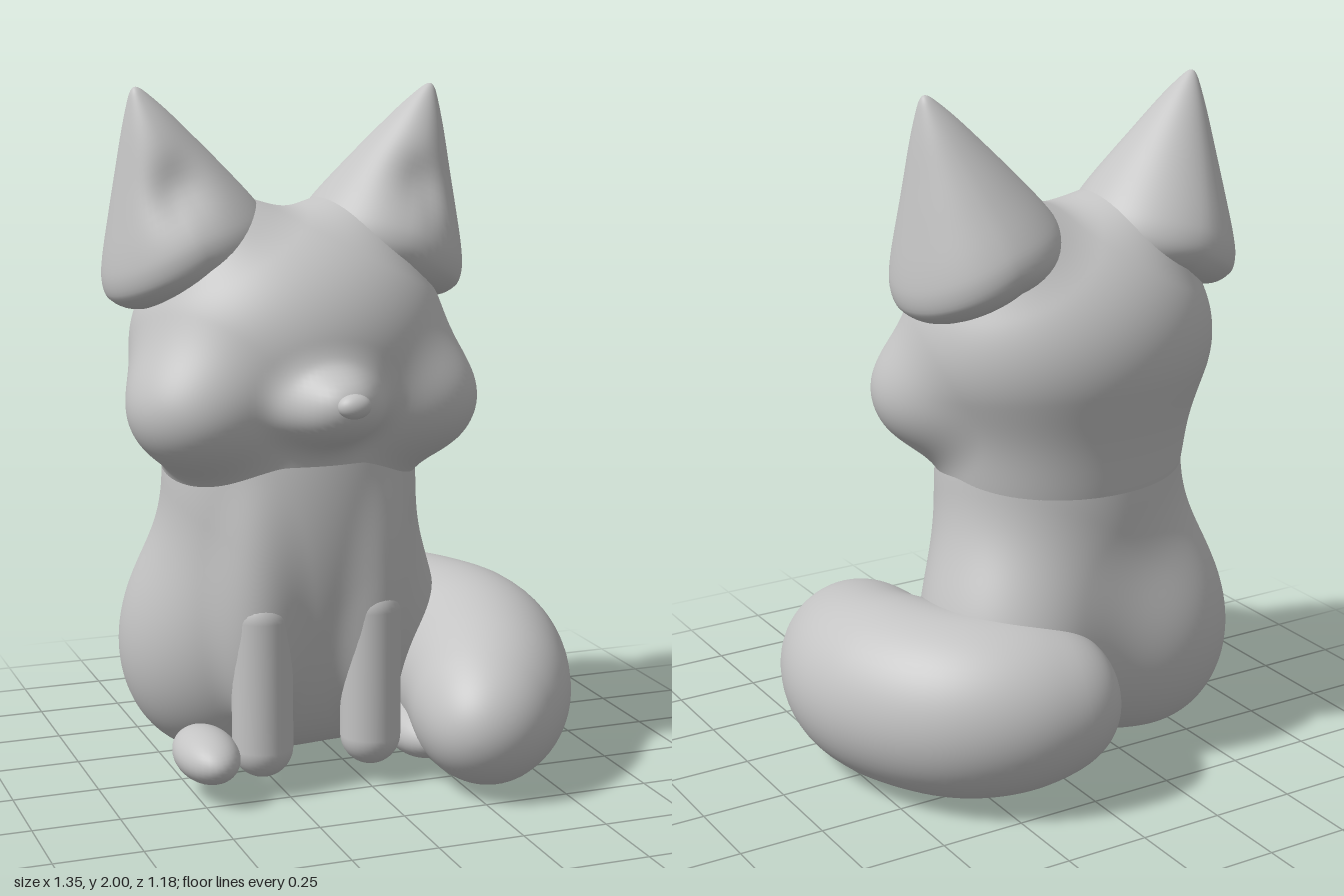
import * as THREE from 'three';
import { mergeVertices } from 'three/addons/utils/BufferGeometryUtils.js';

const clay = new THREE.MeshStandardMaterial({ color: 0xc4c4c4 });
clay.name = 'plainClay';

// Welds the seam and gives smooth normals.
function smooth(geometry) {
  geometry.deleteAttribute('uv');
  geometry.deleteAttribute('normal');
  const welded = mergeVertices(geometry, 1e-5);
  welded.computeVertexNormals();
  return welded;
}

function addPart(parent, name, geometry) {
  const mesh = new THREE.Mesh(geometry, clay);
  mesh.name = name;
  parent.add(mesh);
  return mesh;
}

// Ellipsoid volume; k is the softness of its blend with the ones before it.
const blob = (c, r, k) => ({ c, r, k });
const pair = (c, r, k) => [blob(c, r, k), blob([-c[0], c[1], c[2]], r, k)];

function ellipsoidDistance(p, { c, r }) {
  const x = (p.x - c[0]) / r[0], y = (p.y - c[1]) / r[1], z = (p.z - c[2]) / r[2];
  const k0 = Math.hypot(x, y, z);
  const k1 = Math.hypot(x / r[0], y / r[1], z / r[2]);
  return k1 < 1e-6 ? -Math.min(...r) : k0 * (k0 - 1) / k1;
}

function blendedDistance(p, blobs) {
  let d = 10;
  for (const b of blobs) {
    const e = ellipsoidDistance(p, b);
    const h = Math.max(b.k - Math.abs(d - e), 0) / b.k;
    d = Math.min(d, e) - h * h * b.k / 4;
  }
  return d;
}

// Shrinks a sphere on to the blended volumes along rays from its centre.
function skin(center, blobs, columns, rows) {
  const geometry = new THREE.SphereGeometry(1, columns, rows);
  const pos = geometry.attributes.position;
  const dir = new THREE.Vector3(), p = new THREE.Vector3();
  const at = (t) => p.copy(dir).multiplyScalar(t).add(center);
  for (let i = 0; i < pos.count; i++) {
    dir.fromBufferAttribute(pos, i).normalize();
    let t = 1.1;
    while (t > 0.02 && blendedDistance(at(t), blobs) > 0) t -= 0.015;
    let lo = t, hi = t + 0.015;
    for (let n = 0; n < 10; n++) {
      const mid = (lo + hi) / 2;
      if (blendedDistance(at(mid), blobs) > 0) hi = mid; else lo = mid;
    }
    at(lo);
    pos.setXYZ(i, p.x, p.y, p.z);
  }
  return smooth(geometry);
}

// Leaning cone with a rounded rim, a shallow hollow in front and a sunken inner side.
function earGeometry() {
  const profile = [[0, -0.09], [0.13, -0.085], [0.21, -0.055], [0.246, -0.01], [0.25, 0.04],
    [0.228, 0.1], [0.175, 0.2], [0.12, 0.3], [0.07, 0.39], [0.03, 0.455], [0.012, 0.478], [0, 0.484]];
  const curve = new THREE.SplineCurve(profile.map(([x, y]) => new THREE.Vector2(x, y)));
  const points = curve.getPoints(48).map((v) => new THREE.Vector2(Math.max(v.x, 0), v.y));
  const geometry = new THREE.LatheGeometry(points, 64);
  const pos = geometry.attributes.position;
  for (let i = 0; i < pos.count; i++) {
    const x = pos.getX(i), h = pos.getY(i), z = pos.getZ(i);
    const lift = Math.max(h, 0) / 0.484;
    const hollow = z > 0 ? 0.035 * Math.exp(-((x / 0.08) ** 2) - ((h - 0.2) / 0.08) ** 2) : 0;
    const sink = 0.07 * Math.max(0, -x / 0.25) * (1 - lift);
    pos.setXYZ(i, x - 0.093 * lift, h - sink, z + 0.025 * lift - hollow);
  }
  return smooth(geometry);
}

// Thick sausage swept along a curve, with rounded ends, slimmer at the front.
function tailGeometry() {
  const path = new THREE.CatmullRomCurve3([
    [-0.11, 0.31, -0.375], [0.07, 0.3, -0.375], [0.29, 0.285, -0.255], [0.405, 0.275, 0],
    [0.37, 0.25, 0.22], [0.285, 0.22, 0.4], [0.19, 0.2, 0.55],
  ].map((a) => new THREE.Vector3(...a)));
  const geometry = new THREE.SphereGeometry(1, 64, 80);
  const pos = geometry.attributes.position;
  const up = new THREE.Vector3(0, 1, 0);
  for (let i = 0; i < pos.count; i++) {
    const x = pos.getX(i), s = THREE.MathUtils.clamp(pos.getY(i), -1, 1), z = pos.getZ(i);
    const t = (s + 1) / 2;
    const tangent = path.getTangentAt(t);
    const side = new THREE.Vector3().crossVectors(tangent, up).normalize();
    const normal = new THREE.Vector3().crossVectors(side, tangent);
    const taper = 0.272 * (1 - 0.15 * Math.max(0, s));
    const radius = taper * Math.sqrt(Math.max(0, 1 - s ** 4)) / (Math.hypot(x, z) || 1);
    const p = path.getPointAt(t).addScaledVector(side, x * radius).addScaledVector(normal, z * radius);
    pos.setXYZ(i, p.x, p.y, p.z);
  }
  return smooth(geometry);
}

export function createModel() {
  const model = new THREE.Group();
  model.name = 'sittingFox';
  const figure = new THREE.Group();
  figure.name = 'figure';
  figure.position.x = -0.145;
  model.add(figure);

  // Torso with haunches and shoulders
  addPart(figure, 'body', skin(new THREE.Vector3(0, 0.5, -0.06), [
    blob([0, 0.8, -0.06], [0.378, 0.72, 0.33], 0.1),
    ...pair([0.235, 0.365, -0.165], [0.25, 0.315, 0.265], 0.22),
    ...pair([0.165, 0.55, 0.15], [0.1, 0.34, 0.105], 0.07),
  ], 144, 112));

  // Skull, neck, cheeks, ear roots and snout
  addPart(figure, 'head', skin(new THREE.Vector3(0, 1.25, -0.05), [
    blob([0, 1.27, -0.055], [0.465, 0.38, 0.405], 0.1),
    blob([0, 0.92, -0.075], [0.368, 0.33, 0.315], 0.14),
    ...pair([0.305, 1.12, 0.08], [0.21, 0.185, 0.22], 0.1),
    ...pair([0.21, 1.56, -0.085], [0.14, 0.13, 0.16], 0.14),
    blob([0, 1.14, 0.32], [0.14, 0.1, 0.12], 0.09),
    blob([0, 1.16, 0.405], [0.07, 0.06, 0.06], 0.07),
  ], 160, 112));

  const nose = addPart(figure, 'nose', new THREE.SphereGeometry(1, 32, 24));
  nose.scale.set(0.047, 0.034, 0.033);
  nose.position.set(0, 1.17, 0.487);

  const ear = earGeometry();
  const leg = new THREE.CapsuleGeometry(0.088, 0.38, 12, 32);
  const foot = new THREE.SphereGeometry(1, 32, 24);
  for (const [name, sign] of [['left', 1], ['right', -1]]) {
    // Ears, leaning outwards
    const mount = new THREE.Group();
    mount.name = name + 'EarMount';
    mount.scale.x = sign;
    figure.add(mount);
    const earMesh = addPart(mount, name + 'Ear', ear);
    earMesh.position.set(0.3, 1.53, -0.095);
    earMesh.rotation.z = -0.49;

    // Front leg and hind foot
    addPart(figure, name + 'FrontLeg', leg).position.set(sign * 0.165, 0.33, 0.18);
    const hind = addPart(figure, name + 'HindFoot', foot);
    hind.scale.set(0.09, 0.075, 0.16);
    hind.position.set(sign * 0.325, 0.125, 0.15);
  }

  // Tail curling round to the front
  addPart(model, 'tail', tailGeometry());
  return model;
}
